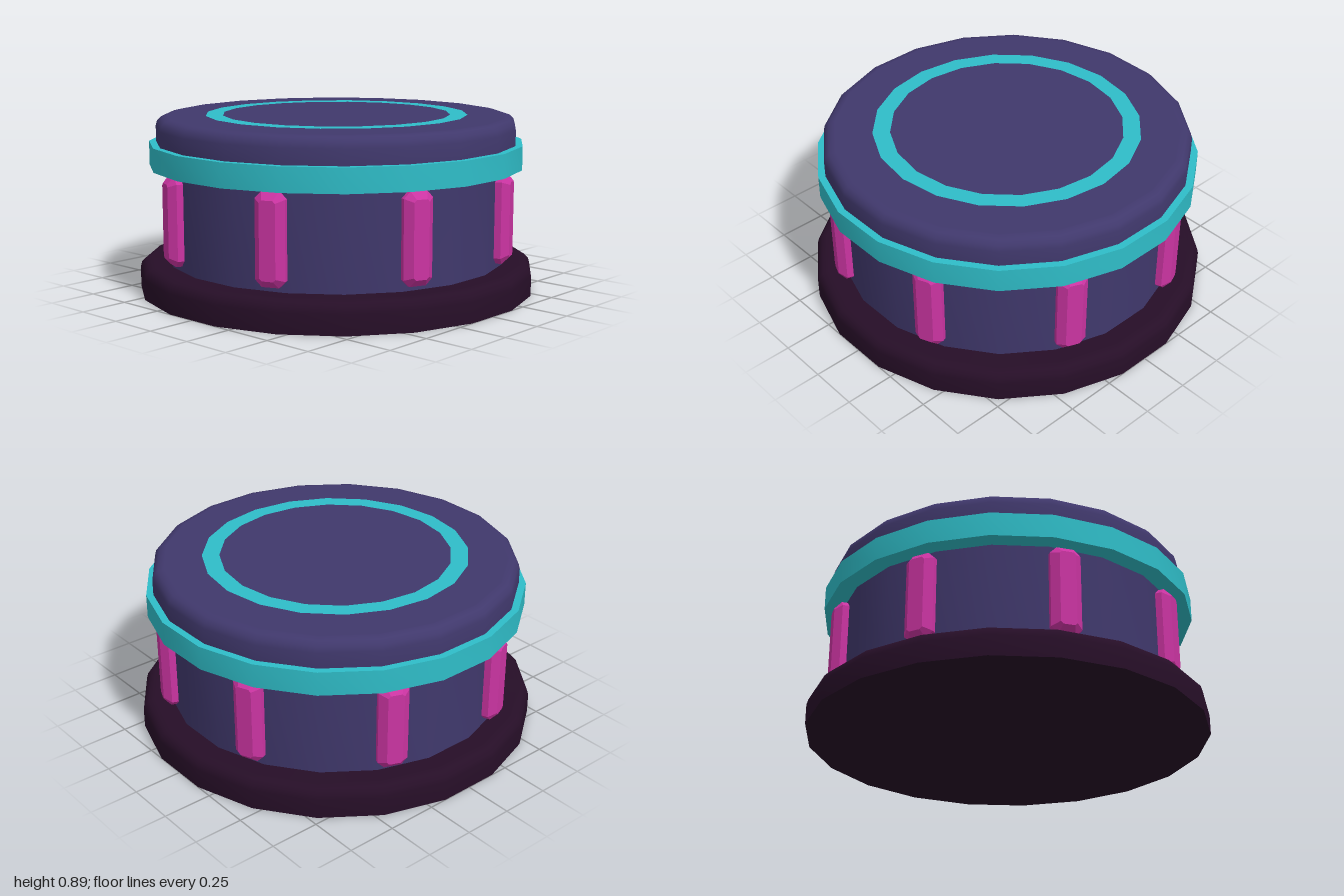
import * as THREE from 'three';
import { toCreasedNormals } from 'three/addons/utils/BufferGeometryUtils.js';

const SIDES = 20;
const APOTHEM = Math.cos(Math.PI / SIDES);

function material(name, color) {
  const m = new THREE.MeshStandardMaterial({ color });
  m.name = name;
  return m;
}

// Twenty-sided turned solid with flat sides facing the axes; bevel rounds the top rim
function drum(name, mat, width, y0, y1, bevel = 0) {
  const r = width / APOTHEM;
  const pts = [[0, y0], [r, y0]];
  if (bevel) {
    for (let i = 0; i <= 3; i++) {
      const a = (i / 3) * Math.PI / 2;
      pts.push([r - bevel + bevel * Math.cos(a), y1 - bevel + bevel * Math.sin(a)]);
    }
    pts.push([r - bevel - 0.006, y1]); // keeps the top face flat-lit
  } else {
    pts.push([r, y1]);
  }
  pts.push([0, y1]);
  const lathe = new THREE.LatheGeometry(
    pts.map(([x, y]) => new THREE.Vector2(x, y)), SIDES, Math.PI / SIDES);
  const mesh = new THREE.Mesh(toCreasedNormals(lathe, 0.6), mat);
  mesh.name = name;
  return mesh;
}

// Upright bar with every edge chamfered, facing +z with its front at z = 0
function barGeometry(width, height, depth, c) {
  const w = width / 2 - c, h = height / 2 - c, k = 0.012;
  const shape = new THREE.Shape([
    [-w + k, -h], [w - k, -h], [w, -h + k], [w, h - k],
    [w - k, h], [-w + k, h], [-w, h - k], [-w, -h + k],
  ].map(([x, y]) => new THREE.Vector2(x, y)));
  const geo = new THREE.ExtrudeGeometry(shape, {
    depth: depth - 2 * c, bevelEnabled: true, bevelSegments: 1,
    bevelSize: c, bevelThickness: c,
  });
  geo.translate(0, 0, c - depth);
  return toCreasedNormals(geo, 0.1);
}

export function createModel() {
  const model = new THREE.Group();
  model.name = 'roundPedestal';

  const dark = material('darkPlum', 0x260e27);
  const purple = material('dustyPurple', 0x40386c);
  const teal = material('teal', 0x2fbdc8);
  const pink = material('magenta', 0xcb34a2);

  // Stacked drums
  model.add(drum('base', dark, 1, 0, 0.155, 0.055));
  model.add(drum('column', purple, 0.855, 0.14, 0.65));
  model.add(drum('band', teal, 0.943, 0.635, 0.755));
  model.add(drum('cap', purple, 0.908, 0.74, 0.888, 0.055));

  // Inlaid ring on the cap
  const ring = new THREE.Mesh(new THREE.RingGeometry(0.58, 0.667, SIDES), teal);
  ring.name = 'topRing';
  ring.rotation.x = -Math.PI / 2;
  ring.position.y = 0.892;
  model.add(ring);

  // Eight bars around the column
  const bars = new THREE.Group();
  bars.name = 'bars';
  const geo = barGeometry(0.15, 0.445, 0.13, 0.035);
  for (let i = 0; i < 8; i++) {
    const a = (i + 0.5) * Math.PI / 4;
    const bar = new THREE.Mesh(geo, pink);
    bar.name = 'bar';
    bar.position.set(Math.sin(a) * 0.92, 0.4025, Math.cos(a) * 0.92);
    bar.rotation.y = a;
    bars.add(bar);
  }
  model.add(bars);
  return model;
}
